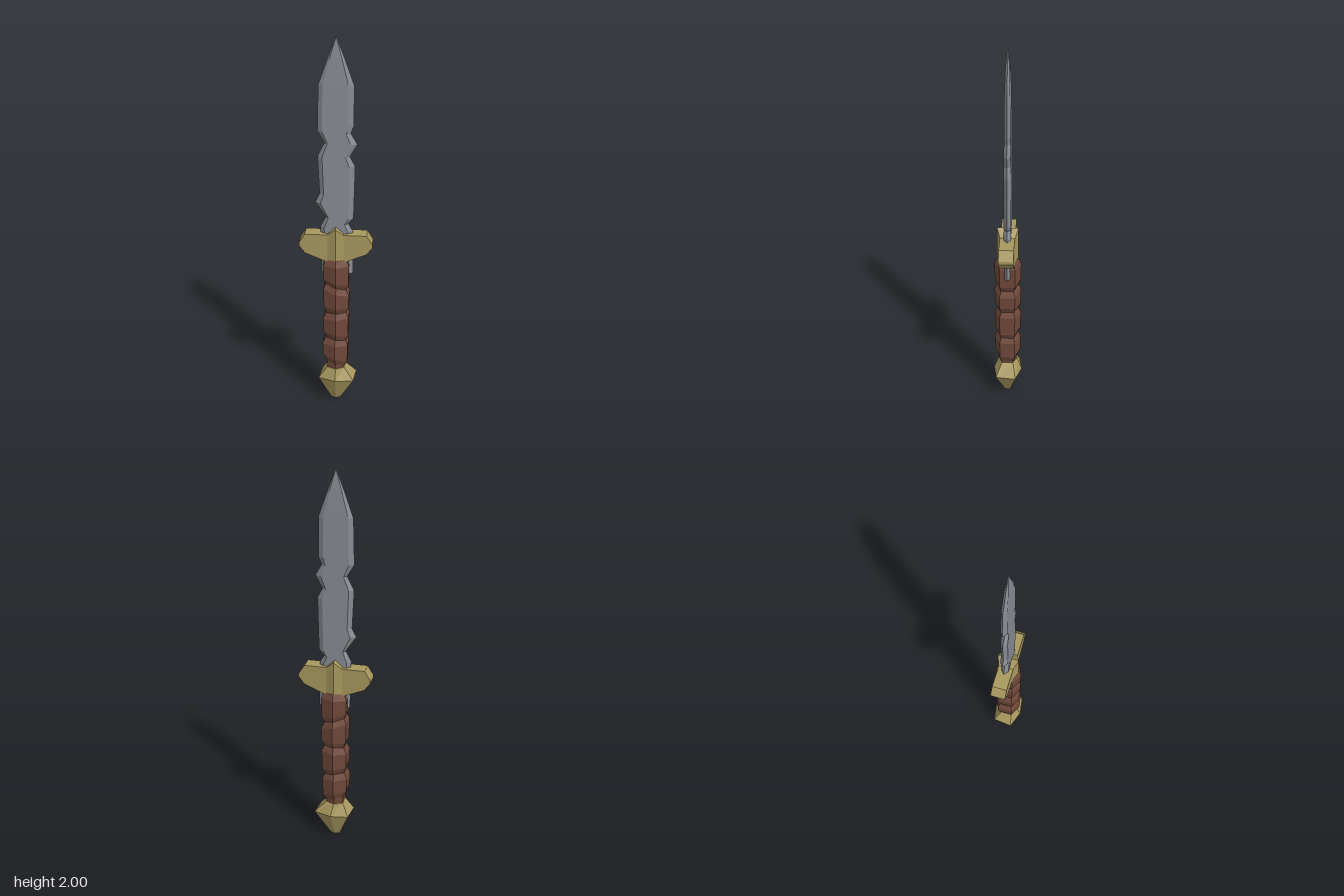
import * as THREE from 'three';

const material = (color) => new THREE.MeshStandardMaterial({ color, flatShading: true });

// Skin a closed solid through rings that have equal point counts
function loft(name, rings, mat) {
  const pos = [];
  const tri = (a, b, c) => pos.push(...a, ...b, ...c);
  const n = rings[0].length;
  for (let r = 0; r < rings.length - 1; r++) {
    const a = rings[r], b = rings[r + 1];
    for (let i = 0; i < n; i++) {
      const j = (i + 1) % n;
      tri(a[i], a[j], b[j]);
      tri(a[i], b[j], b[i]);
    }
  }
  const first = rings[0], last = rings[rings.length - 1];
  for (let i = 1; i < n - 1; i++) {
    tri(first[0], first[i + 1], first[i]);
    tri(last[0], last[i], last[i + 1]);
  }
  const geo = new THREE.BufferGeometry();
  geo.setAttribute('position', new THREE.Float32BufferAttribute(pos, 3));
  geo.computeVertexNormals();
  const mesh = new THREE.Mesh(geo, mat);
  mesh.name = name;
  return mesh;
}

// Value of a [y, value] profile at a height
function sample(profile, y) {
  for (let i = 0; i < profile.length - 1; i++) {
    const [y0, v0] = profile[i], [y1, v1] = profile[i + 1];
    if (y <= y1) return v0 + (v1 - v0) * Math.max(0, (y - y0) / (y1 - y0));
  }
  return profile[profile.length - 1][1];
}

// Six-sided ring with a ridge at front and back; tilt lowers the +x side
function hexRing(y, rx, rz, tilt = 0, cx = 0) {
  return [[0, 1], [1, 0.58], [1, -0.58], [0, -1], [-1, -0.58], [-1, 0.58]]
    .map(([x, z]) => [cx + x * rx, y - x * tilt, z * rz]);
}

export function createModel() {
  const group = new THREE.Group();
  const steel = material(0x878b92);
  const brass = material(0xa8985e);
  const leather = material(0x70493a);

  // Blade: notched edges with bevels on both faces
  const left = [[0.77, -0.075], [1.03, -0.08], [1.085, -0.052], [1.165, -0.105], [1.21, -0.083],
    [1.41, -0.092], [1.48, -0.057], [1.54, -0.092], [1.77, -0.086], [1.9, -0.04], [2, -0.001]];
  const right = [[0.77, 0.088], [1.01, 0.085], [1.05, 0.062], [1.08, 0.088], [1.36, 0.094],
    [1.41, 0.068], [1.475, 0.104], [1.53, 0.072], [1.57, 0.087], [1.77, 0.086], [1.9, 0.04], [2, 0.001]];
  const thick = [[0.77, 0.019], [1.45, 0.017], [1.77, 0.014], [1.9, 0.01], [2, 0.002]];
  const heights = [...new Set([...left, ...right].map((p) => p[0]))].sort((a, b) => a - b);
  group.add(loft('blade', heights.map((y) => {
    const l = sample(left, y), r = sample(right, y), t = sample(thick, y);
    const il = l * 0.74, ir = r * 0.7;
    return [[l, y, 0], [il, y, t], [ir, y, t], [r, y, 0], [ir, y, -t], [il, y, -t]];
  }), steel));

  // Crossguard: columns of [x, bottom, top, half depth], ridged in the middle
  const half = [[0.187, 0.935, 0.952, 0.038], [0.157, 0.895, 1.0, 0.038],
    [0.04, 0.846, 1.0, 0.038]];
  const columns = [...half.map(([x, ...rest]) => [-x, ...rest]),
    [0, 0.84, 1.038, 0.055], ...half.slice().reverse()];
  group.add(loft('crossguard', columns.map(([x, b, t, d]) =>
    [[x, t, -d], [x, t, d], [x, b, d], [x, b, -d]]), brass));

  // Grip core, seen in the gaps between the wraps
  group.add(loft('gripCore', [hexRing(0.18, 0.045, 0.048), hexRing(0.87, 0.052, 0.054)], leather));

  // Leather wraps: [bottom, top, tilt at bottom, tilt at top, sideways shift]
  const wraps = [[0.235, 0.39, 0.018, 0.006, -0.002], [0.385, 0.55, 0.012, -0.004, 0.001],
    [0.545, 0.705, 0.0, 0.02, 0.003], [0.695, 0.86, 0.015, 0.0, 0.002]];
  wraps.forEach(([b, t, tiltB, tiltT, cx], i) => {
    group.add(loft('gripWrap' + (i + 1), [
      hexRing(b, 0.05, 0.054, tiltB, cx),
      hexRing(b + 0.035, 0.064, 0.068, tiltB, cx),
      hexRing(t - 0.035, 0.067, 0.07, tiltT, cx),
      hexRing(t, 0.052, 0.056, tiltT, cx),
    ], leather));
  });

  // Pommel: faceted, with a slightly uneven widest ring
  const widest = [[0.0, 0.075], [0.097, 0.06], [0.108, -0.046], [0.012, -0.077], [-0.08, -0.062], [-0.092, 0.042]]
    .map(([x, z]) => [x, 0.14, z]);
  group.add(loft('pommel', [hexRing(0, 0.025, 0.024), widest, hexRing(0.205, 0.045, 0.052)], brass));

  return group;
}
